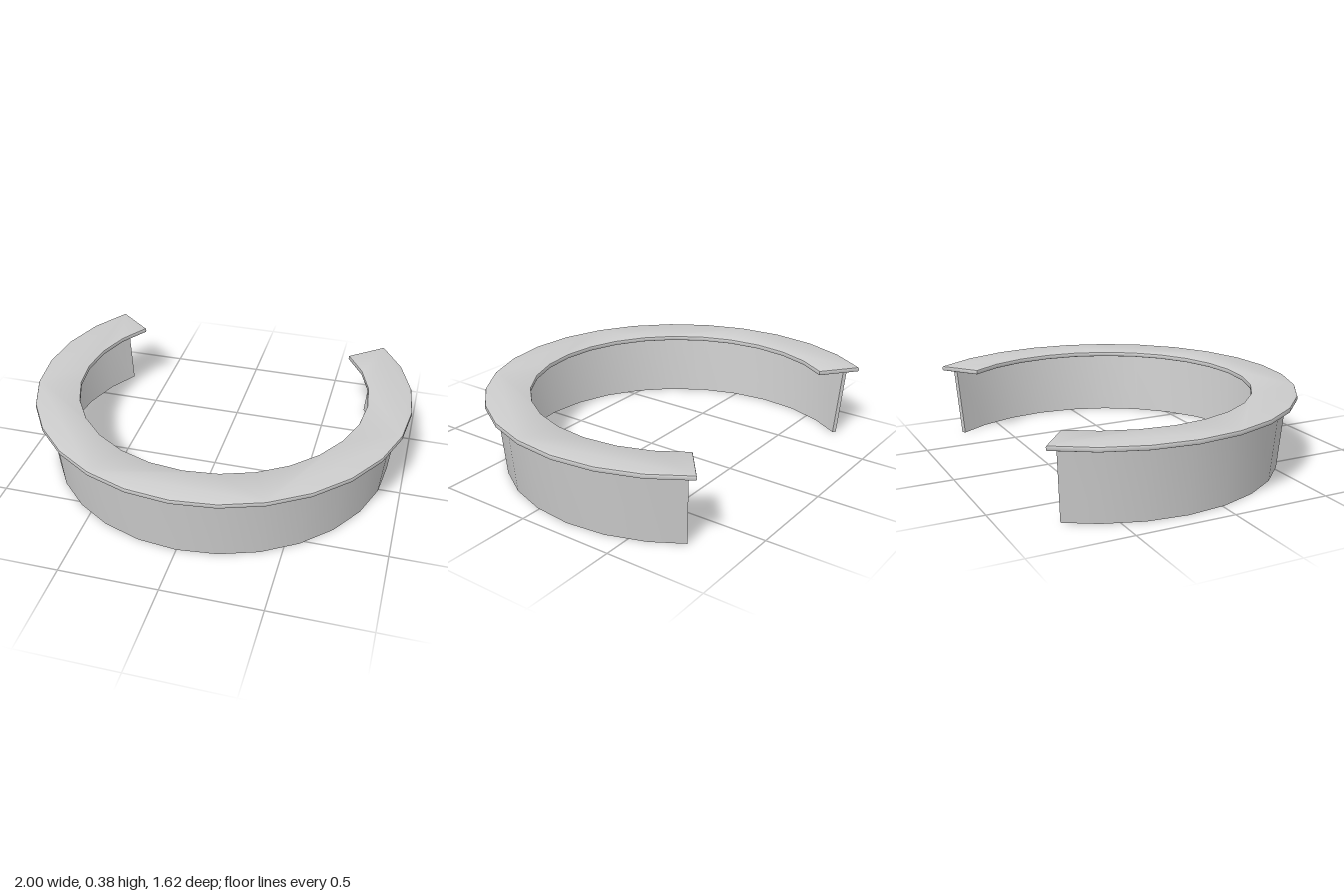
import * as THREE from 'three';
import { toCreasedNormals } from 'three/addons/utils/BufferGeometryUtils.js';

const STEP = (Math.PI * 2) / 28; // facets of the full ring
const CENTRE_Z = -0.19;
const CREASE = 0.45;

// Plan outline of an open ring, its gap facing the back (-z)
function ringPlan(outer, inner, endAngle) {
  const point = (r, a) => new THREE.Vector2(r * Math.sin(a), -r * Math.cos(a));
  const points = [];
  for (const [r, dir] of [[outer, 1], [inner, -1]]) {
    for (let k = -10; k <= 10; k++) {
      const a = THREE.MathUtils.clamp(k * dir * STEP, -endAngle, endAngle);
      points.push(point(r, a));
    }
  }
  return new THREE.Shape(points);
}

function addPart(group, name, geometry) {
  const material = new THREE.MeshStandardMaterial({ color: 0xcccccc });
  const mesh = new THREE.Mesh(toCreasedNormals(geometry, CREASE), material);
  mesh.name = name;
  mesh.position.z = CENTRE_Z;
  group.add(mesh);
}

export function createModel() {
  const group = new THREE.Group();
  group.name = 'curvedCounter';

  // Counter top: thin slab with softened edges
  const bevel = 0.006;
  const top = new THREE.ExtrudeGeometry(ringPlan(1, 0.77, 10 * STEP), {
    depth: 0.013,
    bevelSize: bevel,
    bevelOffset: -bevel,
    bevelThickness: bevel,
    bevelSegments: 2,
  });
  top.rotateX(-Math.PI / 2).translate(0, 0.359 + bevel, 0);
  addPart(group, 'counterTop', top);

  // Front panel: thin wall leaning outward towards the top
  const height = 0.36;
  const panel = new THREE.ExtrudeGeometry(
    ringPlan(0.91, 0.89, THREE.MathUtils.degToRad(126.8)),
    { depth: height, bevelEnabled: false }
  );
  panel.rotateX(-Math.PI / 2);
  const pos = panel.attributes.position;
  for (let i = 0; i < pos.count; i++) {
    const x = pos.getX(i), y = pos.getY(i), z = pos.getZ(i);
    const s = 1 + (0.035 * y) / height / Math.hypot(x, z);
    pos.setXYZ(i, x * s, y, z * s);
  }
  addPart(group, 'panel', panel);

  return group;
}
